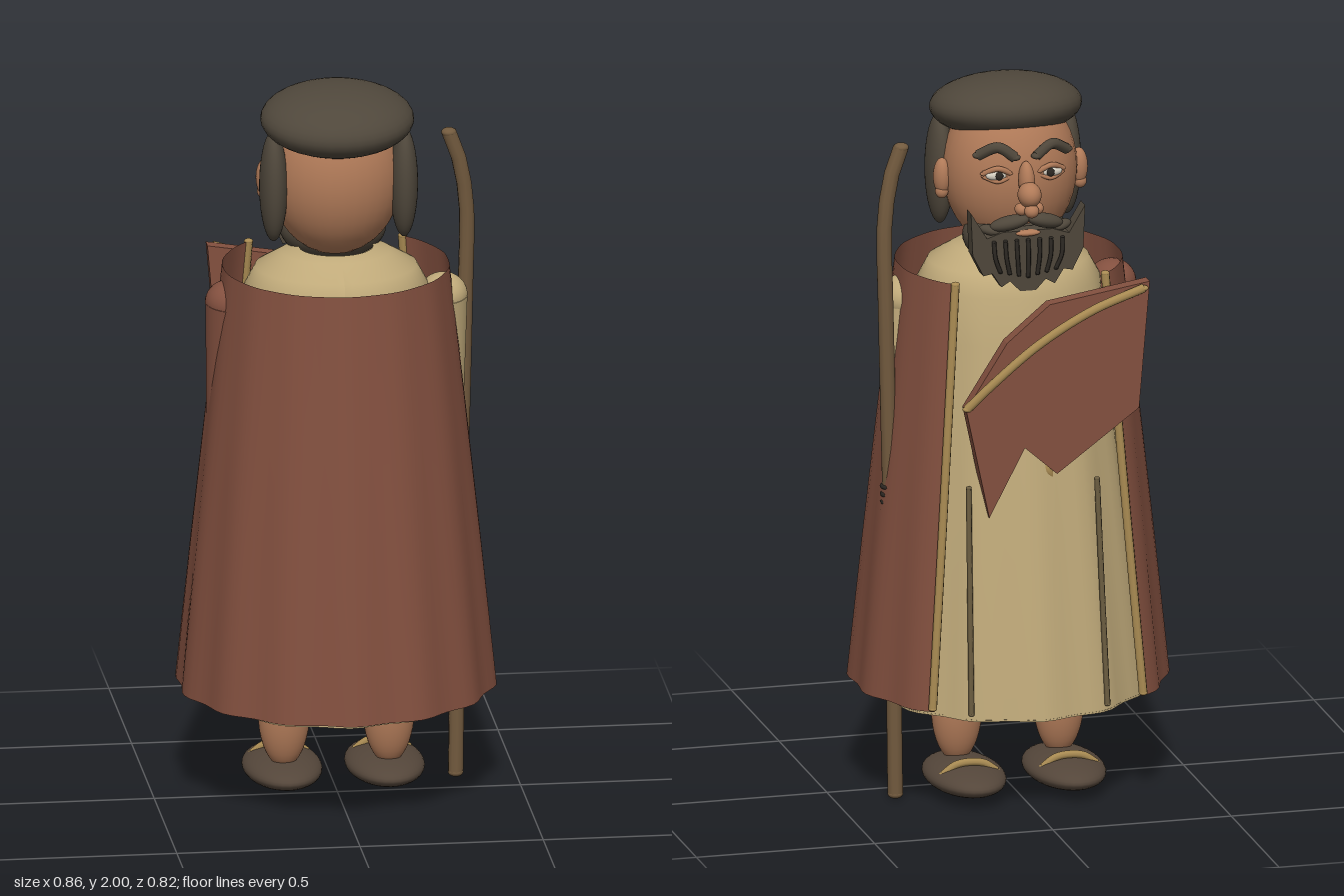
import * as THREE from 'three';

const V = (x, y, z) => new THREE.Vector3(x, y, z);
const mat = (color) => new THREE.MeshStandardMaterial({ color, side: THREE.DoubleSide });
const skin = mat(0xb07a58), hair = mat(0x4f473b), red = mat(0x83503f), sand = mat(0xc0aa7a);
const wood = mat(0x725a3e), trim = mat(0xa88a52), dark = mat(0x2c2823), white = mat(0xd8d2c4);
const shoe = mat(0x54463a), seam = mat(0x6a5c40);

export function createModel() {
  const model = new THREE.Group();

  const add = (name, geometry, material, p = [0, 0, 0], r = [0, 0, 0]) => {
    const m = new THREE.Mesh(geometry, material);
    m.name = name;
    m.position.set(...p);
    m.rotation.set(...r);
    model.add(m);
    return m;
  };
  const ball = (name, material, p, radii, r) =>
    add(name, new THREE.SphereGeometry(1, 32, 20), material, p, r).scale.set(...radii);
  const tube = (name, material, points, radius, sides = 10) => {
    const curve = new THREE.CatmullRomCurve3(points.map((p) => V(...p)));
    add(name, new THREE.TubeGeometry(curve, 24, radius, sides), material);
    for (const end of [points[0], points[points.length - 1]])
      ball(name + 'End', material, end, [radius, radius * 0.6, radius]);
  };
  // Draped cloth: rings [y, rx, rz, centre z, fold depth]; angle 0 points to -z
  const drape = (name, material, rings, from, to, folds) => {
    const rows = rings.length - 1, g = new THREE.PlaneGeometry(1, 1, 64, rows);
    const pos = g.attributes.position;
    for (let i = 0; i < pos.count; i++) {
      const a = from + (to - from) * (i % 65) / 64;
      const [y, rx, rz, cz, wave] = rings[Math.floor(i / 65)];
      const k = 1 + wave * Math.cos(a * folds);
      pos.setXYZ(i, Math.sin(a) * rx * k, y, cz - Math.cos(a) * rz * k);
    }
    g.computeVertexNormals();
    return add(name, g, material);
  };
  const plate = (name, material, outline, depth, z) => {
    const shape = new THREE.Shape(outline.map(([x, y]) => new THREE.Vector2(x, y)));
    add(name, new THREE.ExtrudeGeometry(shape, { depth, bevelEnabled: false }), material, [0, 0, z]);
  };

  // Robe with rounded shoulders and closed hem
  drape('robe', sand, [
    [1.54, 0.10, 0.09, -0.03, 0], [1.53, 0.15, 0.13, -0.03, 0], [1.49, 0.22, 0.19, -0.03, 0],
    [1.43, 0.252, 0.215, -0.03, 0], [1.3, 0.262, 0.235, -0.035, 0.005],
    [0.8, 0.315, 0.30, -0.04, 0.015], [0.28, 0.365, 0.36, -0.043, 0.022],
  ], -Math.PI, Math.PI, 12);
  drape('robeUnderside', seam, [[0.285, 0.365, 0.36, -0.043, 0.022], [0.29, 0.001, 0.001, -0.043, 0]],
    -Math.PI, Math.PI, 12);
  for (const x of [-0.18, 0.18])
    tube('robeSeam', seam, [[x, 0.92, -0.29], [x * 1.03, 0.6, -0.325], [x * 1.06, 0.3, -0.36]], 0.008, 6);

  // Open cloak with trimmed front edges
  const gap = 0.75;
  drape('cloak', red, [
    [1.49, 0.308, 0.31, -0.035, 0.003], [1.1, 0.35, 0.35, -0.034, 0.007],
    [0.7, 0.392, 0.392, -0.032, 0.012], [0.31, 0.43, 0.43, -0.03, 0.018],
  ], gap, 2 * Math.PI - gap, 14);
  for (const s of [-1, 1])
    tube('cloakTrim', trim, [[s * 0.21, 1.49, -0.263], [s * 0.252, 0.9, -0.303], [s * 0.295, 0.32, -0.343]], 0.012, 8);

  // Arms: tapered sleeves under rounded shoulders
  for (const s of [-1, 1]) {
    const cloth = s > 0 ? sand : red;
    ball('shoulder', cloth, [s * 0.292, 1.395, -0.025], [0.066, 0.06, 0.07]);
    const sleeve = add('sleeve', new THREE.CylinderGeometry(0.066, 0.035, 0.51, 24), cloth,
      [s * 0.302, 1.14, -0.047], [0.1, 0, s * 0.04]);
    sleeve.scale.z = 1.05;
    ball('cuff', cloth, [s * 0.312, 0.888, -0.072], [0.035, 0.02, 0.035]);
  }

  // Legs and sandals
  for (const s of [-1, 1]) {
    ball('leg', skin, [s * 0.143, 0.22, -0.025], [0.07, 0.15, 0.06]);
    ball('sandal', shoe, [s * 0.14, 0.052, -0.092], [0.108, 0.043, 0.188]);
    tube('sandalStrap', trim, [[s * 0.14 - 0.075, 0.072, -0.15], [s * 0.14 - 0.04, 0.096, -0.15],
      [s * 0.14, 0.102, -0.15], [s * 0.14 + 0.04, 0.096, -0.15], [s * 0.14 + 0.075, 0.072, -0.15]], 0.011, 8);
  }

  // Head, cap and side hair
  ball('head', skin, [0, 1.745, -0.045], [0.185, 0.225, 0.17]);
  ball('cap', hair, [0, 1.912, -0.004], [0.209, 0.086, 0.19], [0.12, 0, 0]);
  ball('chinBeard', hair, [0, 1.575, -0.10], [0.145, 0.088, 0.105]);
  for (const s of [-1, 1]) {
    ball('sideHair', hair, [s * 0.178, 1.735, 0.026], [0.038, 0.155, 0.064]);
    ball('ear', skin, [s * 0.192, 1.735, -0.055], [0.024, 0.052, 0.028]);
    ball('earlobe', skin, [s * 0.194, 1.695, -0.06], [0.018, 0.02, 0.018]);
    // Eyes, lids and brows
    ball('eye', white, [s * 0.075, 1.77, -0.196], [0.032, 0.015, 0.014]);
    ball('pupil', dark, [s * 0.072, 1.77, -0.208], [0.011, 0.012, 0.006]);
    tube('upperLid', skin, [[s * 0.04, 1.775, -0.204], [s * 0.075, 1.79, -0.206], [s * 0.112, 1.773, -0.186]], 0.008, 8);
    tube('lowerLid', skin, [[s * 0.04, 1.764, -0.203], [s * 0.075, 1.753, -0.204], [s * 0.112, 1.765, -0.186]], 0.006, 8);
    tube('brow', hair, [[s * 0.03, 1.822, -0.216], [s * 0.075, 1.85, -0.206], [s * 0.125, 1.825, -0.18]], 0.015, 8);
    ball('nostril', skin, [s * 0.022, 1.685, -0.25], [0.018, 0.017, 0.022]);
    // Moustache halves
    ball('moustache', hair, [s * 0.05, 1.643, -0.232], [0.056, 0.02, 0.026], [0, s * -0.3, s * -0.25]);
    ball('moustacheTip', hair, [s * 0.1, 1.622, -0.215], [0.03, 0.014, 0.018], [0, s * -0.4, s * 0.2]);
  }
  ball('noseBridge', skin, [0, 1.755, -0.225], [0.022, 0.055, 0.03], [0.15, 0, 0]);
  ball('noseBulb', skin, [0, 1.725, -0.255], [0.032, 0.035, 0.04]);
  ball('noseTip', skin, [0, 1.685, -0.277], [0.02, 0.019, 0.02]);
  ball('lip', skin, [0, 1.613, -0.238], [0.035, 0.009, 0.014]);

  // Jagged beard with carved strands
  const half = [[0.07, 1.62], [0.115, 1.605], [0.16, 1.68], [0.155, 1.56], [0.125, 1.50], [0.1, 1.505],
    [0.075, 1.465], [0.05, 1.48], [0.022, 1.45]];
  plate('beard', hair, [...half, ...half.map(([x, y]) => [-x, y]).reverse()], 0.045, -0.24);
  for (let i = -3; i <= 3; i++)
    tube('beardStrand', dark, [[i * 0.032, 1.595, -0.242], [i * 0.031, 1.55, -0.247],
      [i * 0.026, 1.49 + Math.abs(i) * 0.006, -0.242]], 0.006, 6);

  // Torn cloth across the chest, hung from a curved strap
  plate('chestCloth', red, [[0.195, 1.15], [0.08, 1.33], [-0.04, 1.43], [-0.32, 1.475], [-0.29, 1.12],
    [-0.06, 0.95], [0.03, 1.03], [0.13, 0.84]], 0.04, -0.32);
  tube('chestStrap', trim, [[0.195, 1.155, -0.33], [0.13, 1.22, -0.342], [0, 1.325, -0.345],
    [-0.15, 1.41, -0.343], [-0.3, 1.46, -0.33]], 0.013, 8);
  tube('strapEnd', trim, [[-0.02, 1.0, -0.29], [-0.035, 0.96, -0.305], [-0.055, 0.93, -0.295]], 0.014, 8);

  // Walking staff with wound grip
  tube('staff', wood, [[0.315, 1.835, -0.085], [0.345, 1.75, -0.088], [0.364, 1.62, -0.095], [0.362, 1.4, -0.1],
    [0.353, 1.0, -0.1], [0.343, 0.6, -0.1], [0.335, 0.013, -0.1]], 0.021, 10);
  for (let i = 0; i < 6; i++)
    add('staffWrap', new THREE.TorusGeometry(0.02, 0.006, 6, 18), dark,
      [0.352 - i * 0.0005, 0.885 - i * 0.022, -0.1], [Math.PI / 2, 0, 0]);

  return model;
}
